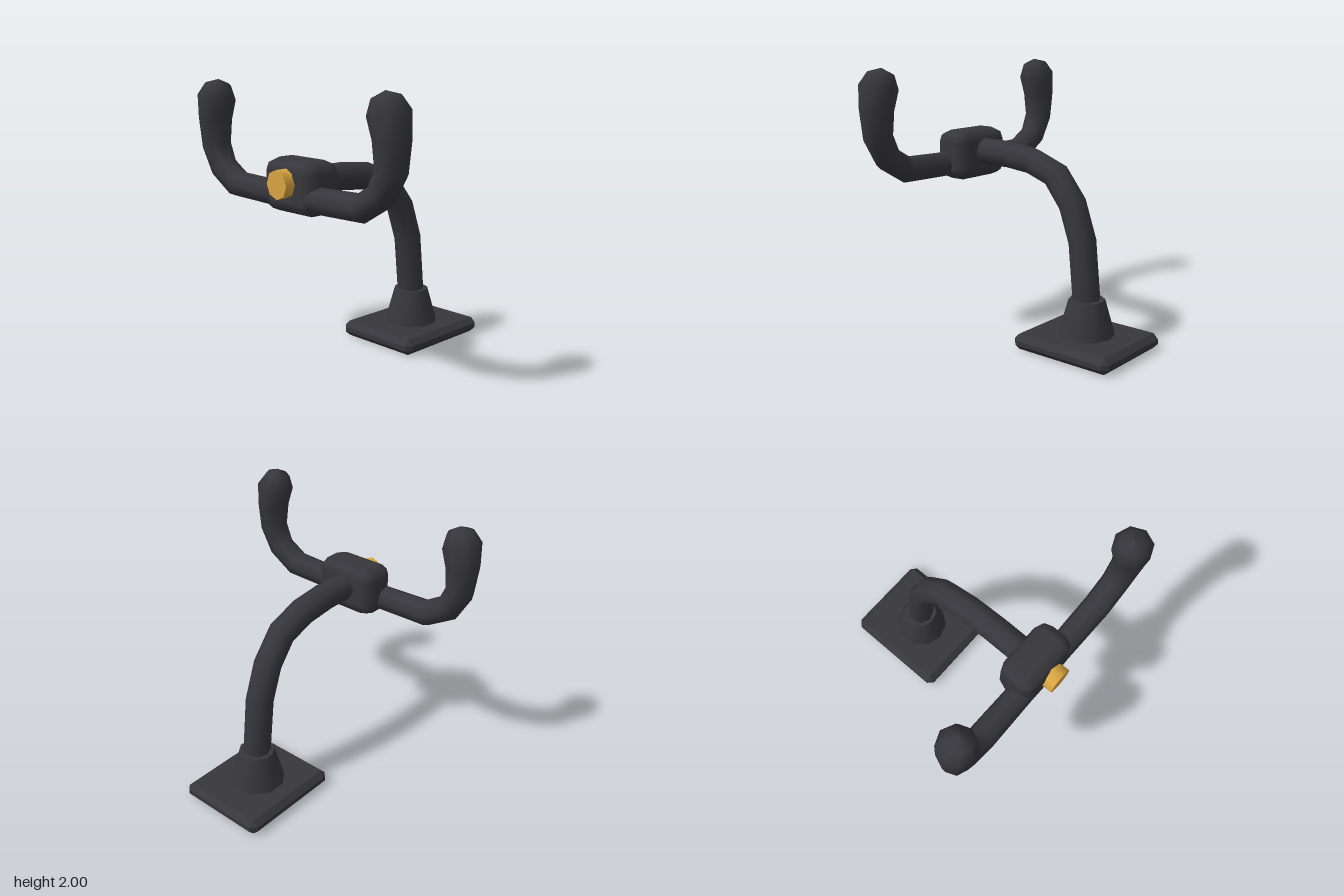
import * as THREE from 'three';
import { RoundedBoxGeometry } from 'three/addons/geometries/RoundedBoxGeometry.js';
import { ConvexGeometry } from 'three/addons/geometries/ConvexGeometry.js';
import { toCreasedNormals } from 'three/addons/utils/BufferGeometryUtils.js';

// Eight-sided tube of varying radius along a planar path; side is the plane's normal
function sweep(path, radii, side, sides = 8) {
  const pos = [], index = [];
  path.forEach((p, i) => {
    const before = path[Math.max(i - 1, 0)], after = path[Math.min(i + 1, path.length - 1)];
    // average the two neighbouring directions so each joint is mitred
    const t = new THREE.Vector3();
    if (i > 0) t.add(p.clone().sub(before).normalize());
    if (i < path.length - 1) t.add(after.clone().sub(p).normalize());
    const n = side.clone().cross(t.normalize());
    for (let j = 0; j < sides; j++) {
      const a = (j / sides) * Math.PI * 2;
      const v = p.clone()
        .addScaledVector(n, Math.cos(a) * radii[i])
        .addScaledVector(side, Math.sin(a) * radii[i]);
      pos.push(v.x, v.y, v.z);
      if (i < path.length - 1) {
        const k = (j + 1) % sides, r = i * sides, s = r + sides;
        index.push(r + j, r + k, s + k, r + j, s + k, s + j);
      }
    }
  });
  const g = new THREE.BufferGeometry();
  g.setAttribute('position', new THREE.Float32BufferAttribute(pos, 3));
  g.setIndex(index);
  g.computeVertexNormals();
  return g;
}

// Box with every edge cut at 45 degrees
function chamferedBox(w, h, d, c) {
  const pts = [];
  for (const x of [-1, 1]) for (const y of [-1, 1]) for (const z of [-1, 1]) {
    const a = x * w / 2, b = y * h / 2, e = z * d / 2;
    pts.push(
      new THREE.Vector3(a, b - y * c, e - z * c),
      new THREE.Vector3(a - x * c, b, e - z * c),
      new THREE.Vector3(a - x * c, b - y * c, e)
    );
  }
  return new ConvexGeometry(pts);
}

export function createModel() {
  const group = new THREE.Group();
  const dark = new THREE.MeshStandardMaterial({ color: 0x36363c });
  dark.name = 'charcoal';
  const gold = new THREE.MeshStandardMaterial({ color: 0xd9a441 });
  gold.name = 'gold';

  const add = (name, geometry, material, x = 0, y = 0, z = 0) => {
    const mesh = new THREE.Mesh(geometry, material);
    mesh.name = name;
    mesh.position.set(x, y, z);
    group.add(mesh);
    return mesh;
  };

  // Foot plate and tapered socket
  add('basePlate', chamferedBox(0.7, 0.115, 0.82, 0.04), dark, 0, 0.0575, -0.455);
  add('socket', toCreasedNormals(new THREE.CylinderGeometry(0.131, 0.21, 0.28, 10), 0.8),
    dark, 0, 0.235, -0.455);

  // Curved stem, as height and depth pairs
  const stem = [[0.2, -0.455], [0.38, -0.45], [0.79, -0.41], [1.05, -0.32], [1.24, -0.17],
    [1.32, 0.05], [1.345, 0.29], [1.345, 0.6]].map(([y, z]) => new THREE.Vector3(0, y, z));
  add('stem', sweep(stem, stem.map(() => 0.1), new THREE.Vector3(1, 0, 0)), dark);

  // Clamp and its round front cap
  add('clamp', new RoundedBoxGeometry(0.5, 0.37, 0.29, 1, 0.09), dark, 0, 1.325, 0.65);
  const cap = toCreasedNormals(new THREE.CylinderGeometry(0.1, 0.1, 0.12, 8), 0.9);
  add('frontCap', cap.rotateX(Math.PI / 2), gold, 0, 1.355, 0.807);

  // Handlebar with swelling grips: x, y and radius of the left half, mirrored
  const half = [[0.25, 1.258, 0.092], [0.625, 1.268, 0.097], [0.795, 1.37, 0.097],
    [0.875, 1.525, 0.104], [0.88, 1.715, 0.12], [0.855, 1.87, 0.138],
    [0.83, 1.965, 0.092], [0.825, 2.0, 0.001]];
  const bar = [...half.map(([x, y, r]) => [-x, y, r]).reverse(), [0, 1.255, 0.09], ...half];
  add('handlebar', sweep(
    bar.map(([x, y]) => new THREE.Vector3(x, y, 0.705)),
    bar.map((b) => b[2]),
    new THREE.Vector3(0, 0, 1)
  ), dark);

  return group;
}
